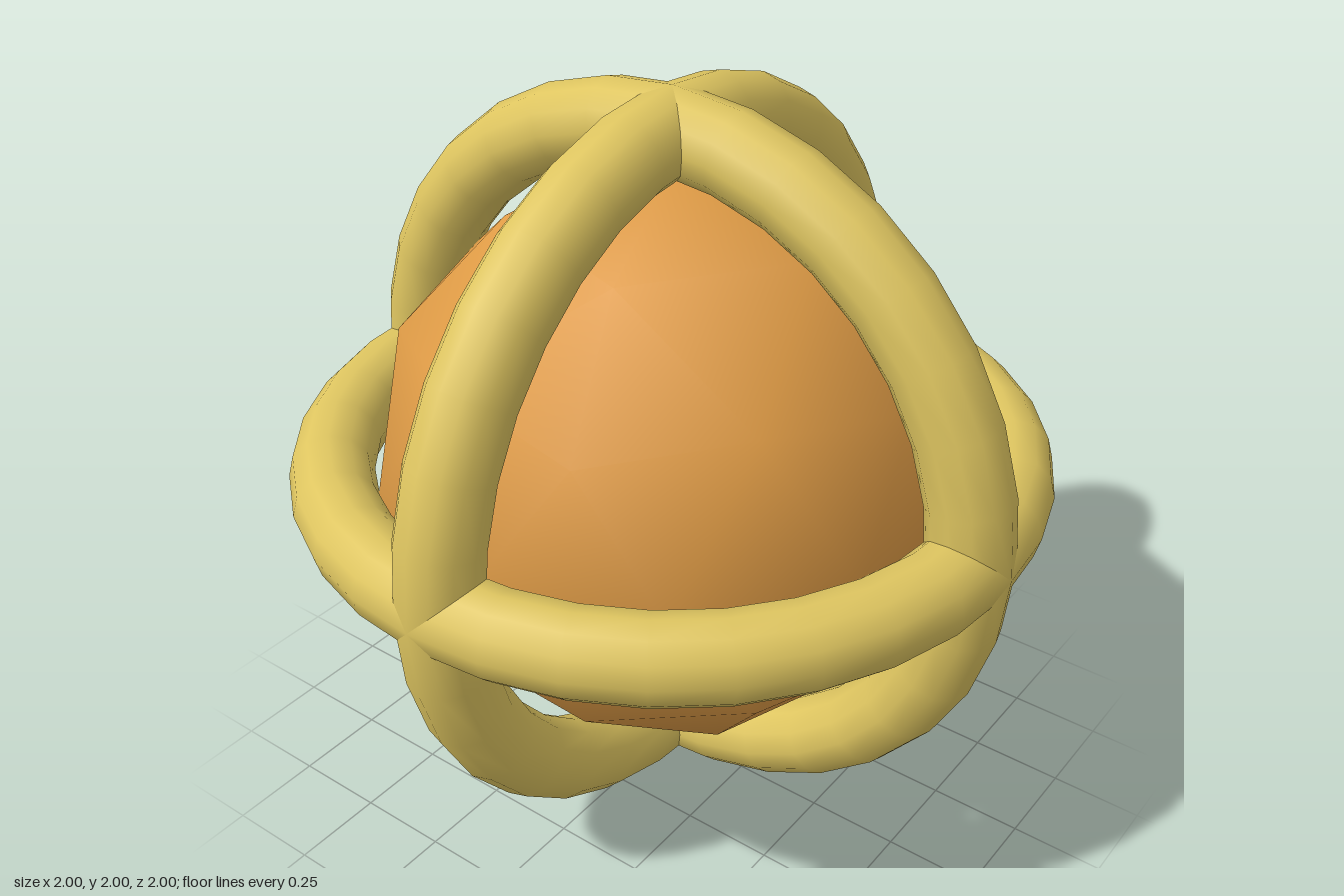
import * as THREE from 'three';

const CENTER_Y = 1;
const CORE_RADIUS = 0.78;
const RING_RADIUS = 0.89;
const TUBE_RADIUS = 0.11;

// Smooth, once-subdivided icosahedron with a corner at each pole
function coreGeometry() {
  const h = 1 / Math.sqrt(5), r = 2 * h;
  const verts = [0, 1, 0, 0, -1, 0];
  const faces = [];
  for (let k = 0; k < 5; k++) {
    const a = (k * 2 * Math.PI) / 5, b = a + Math.PI / 5;
    verts.push(r * Math.cos(a), h, -r * Math.sin(a));
    verts.push(r * Math.cos(b), -h, -r * Math.sin(b));
    const n = (k + 1) % 5;
    const u0 = 2 + 2 * k, l0 = u0 + 1, u1 = 2 + 2 * n, l1 = u1 + 1;
    faces.push(0, u0, u1, u0, l0, u1, l0, l1, u1, 1, l1, l0);
  }
  return new THREE.PolyhedronGeometry(verts, faces, CORE_RADIUS, 1);
}

export function createModel() {
  const model = new THREE.Group();
  model.name = 'ringedOrb';

  const orange = new THREE.MeshStandardMaterial({ color: 0xe09c46 });
  orange.name = 'orange';
  const gold = new THREE.MeshStandardMaterial({ color: 0xdec560 });
  gold.name = 'gold';

  // Inner ball
  const core = new THREE.Mesh(coreGeometry(), orange);
  core.name = 'core';
  core.position.y = CENTER_Y;
  model.add(core);

  // Three rings at right angles to each other
  const ringGeometry = new THREE.TorusGeometry(RING_RADIUS, TUBE_RADIUS, 12, 32);
  const rings = [
    ['frontRing', 0, 0],
    ['sideRing', 0, Math.PI / 2],
    ['levelRing', Math.PI / 2, 0],
  ];
  for (const [name, rx, ry] of rings) {
    const ring = new THREE.Mesh(ringGeometry, gold);
    ring.name = name;
    ring.rotation.set(rx, ry, 0);
    ring.position.y = CENTER_Y;
    model.add(ring);
  }
  return model;
}
